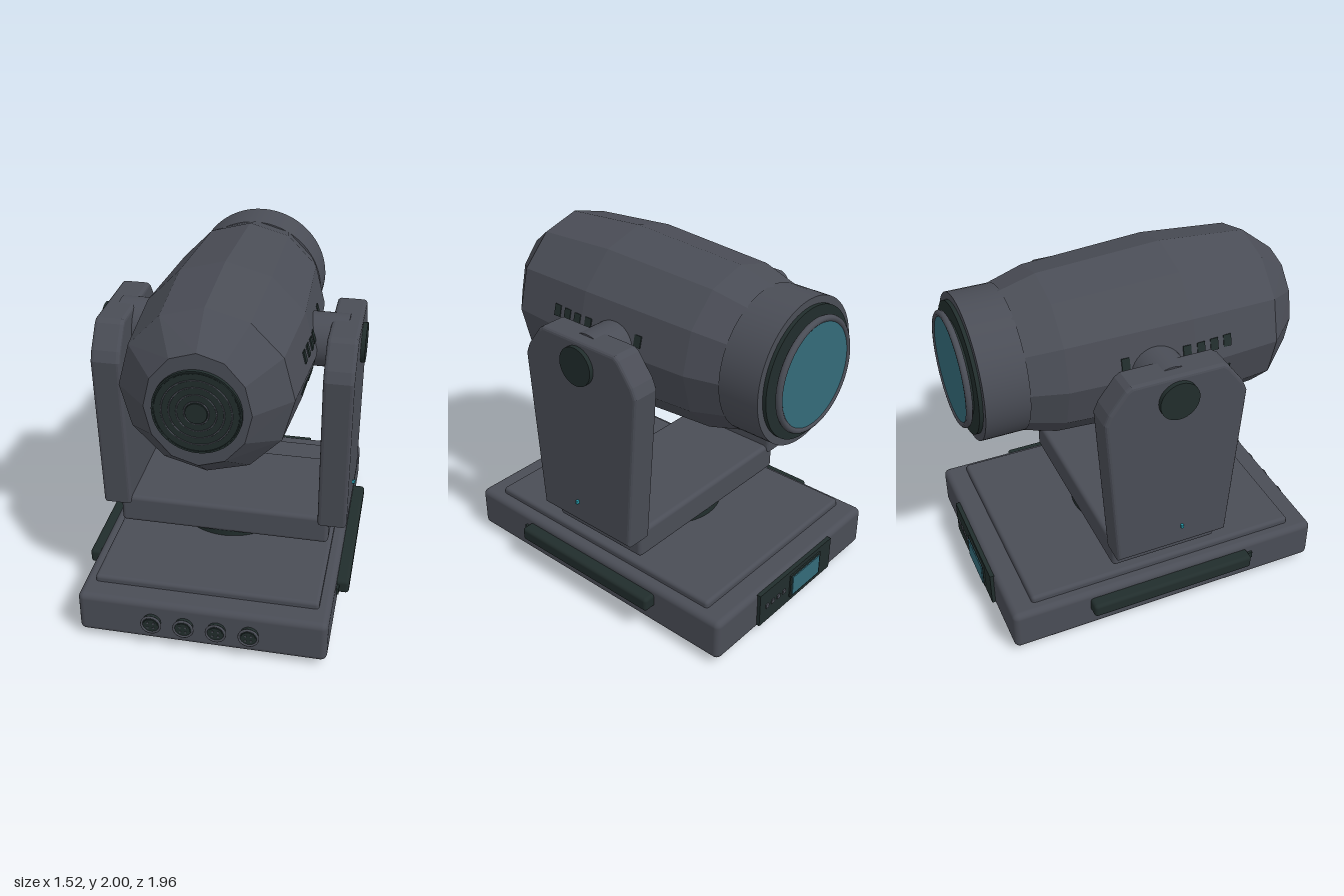
import * as THREE from 'three';
import { RoundedBoxGeometry } from 'three/addons/geometries/RoundedBoxGeometry.js';

const mat = (name, color) => {
  const m = new THREE.MeshStandardMaterial({ color });
  m.name = name;
  return m;
};

export function createModel() {
  const body = mat('body grey', 0x4a4d56);
  const trim = mat('dark trim', 0x212d2c);
  const glass = mat('teal glass', 0x336a79);
  const led = mat('cyan indicator', 0x2593a3);
  const root = new THREE.Group();
  root.name = 'movingHeadLight';

  const add = (name, geo, material, x = 0, y = 0, z = 0, parent = root) => {
    const m = new THREE.Mesh(geo, material);
    m.name = name;
    m.position.set(x, y, z);
    parent.add(m);
    return m;
  };
  const box = (w, h, d, r) => r ? new RoundedBoxGeometry(w, h, d, 3, r) : new THREE.BoxGeometry(w, h, d);
  const cylY = (r, h, n = 32) => new THREE.CylinderGeometry(r, r, h, n);
  const cylX = (r, h, n = 32) => cylY(r, h, n).rotateZ(Math.PI / 2);
  const cylZ = (r, h, n = 32) => cylY(r, h, n).rotateX(Math.PI / 2);

  // Base with raised top plate, feet and pan bearing
  add('base', box(1.38, 0.25, 1.88, 0.035), body, 0, 0.162, 0);
  add('basePlate', box(1.25, 0.08, 1.62, 0.02), body, 0, 0.285, 0);
  add('panBearing', cylY(0.31, 0.06, 48), trim, 0, 0.342, 0);
  for (const x of [-0.525, 0.525])
    for (const z of [-0.645, 0.645]) add('foot', cylY(0.065, 0.05, 24), trim, x, 0.025, z);

  // Side handles
  for (const s of [-1, 1]) {
    add('handle', box(0.09, 0.085, 0.99, 0.02), trim, s * 0.714, 0.203, 0.005);
    add('handleStub', box(0.03, 0.04, 0.05), trim, s * 0.69, 0.198, 0.51);
  }

  // Row of round sockets on the front
  for (const x of [-0.27, -0.09, 0.09, 0.27]) {
    const socket = new THREE.Group();
    socket.name = 'socket';
    socket.position.set(x, 0.165, 0.94);
    root.add(socket);
    add('socketBody', cylZ(0.05, 0.04, 24), trim, 0, 0, 0.01, socket);
    add('socketRim', new THREE.TorusGeometry(0.052, 0.007, 8, 28), body, 0, 0, 0.029, socket);
    add('socketFace', cylZ(0.04, 0.006, 24), trim, 0, 0, 0.032, socket);
    for (let i = 0; i < 4; i++) {
      const a = Math.PI / 4 + i * Math.PI / 2;
      add('socketPin', cylZ(0.006, 0.008, 8), body, 0.022 * Math.cos(a), 0.022 * Math.sin(a), 0.034, socket);
    }
  }

  // Control panel on the back
  add('controlPanel', box(0.68, 0.21, 0.025), trim, 0.01, 0.17, -0.947);
  add('screenFrame', box(0.29, 0.15, 0.01), trim, -0.07, 0.172, -0.963);
  add('screen', box(0.26, 0.125, 0.008), glass, -0.07, 0.172, -0.97);
  for (let i = 0; i < 4; i++)
    add('panelButton', box(0.025, 0.025, 0.008), body, 0.13 + i * 0.052, 0.172, -0.962);

  // Yoke: crossbar and two arms
  add('yokeBar', box(1.22, 0.175, 0.64, 0.025), body, 0, 0.445, 0);
  const half = [[0.33, 0.49], [0.4, 1.44], [0.375, 1.5], [0.285, 1.62], [0.255, 1.64]];
  const outline = [...half, ...half.map(([z, y]) => [-z, y]).reverse()];
  const armShape = new THREE.Shape(outline.map(([z, y]) => new THREE.Vector2(z, y)));
  const armGeo = new THREE.ExtrudeGeometry(armShape, {
    depth: 0.125, bevelEnabled: true, bevelThickness: 0.02, bevelSize: 0.02, bevelOffset: -0.02, bevelSegments: 3,
  }).translate(0, 0, -0.0625).rotateY(Math.PI / 2);
  for (const s of [-1, 1]) {
    add('yokeArm', armGeo, body, s * 0.628, 0, 0);
    add('tiltHub', cylX(0.15, 0.22, 40), body, s * 0.53, 1.5, 0);
    add('tiltCap', cylX(0.11, 0.035), trim, s * 0.718, 1.5, 0);
    add('armIndicator', box(0.02, 0.02, 0.014), led, s * 0.718, 0.625, 0.05);
  }

  // Head: faceted twelve-sided shell, axis along z
  const head = new THREE.Group();
  head.name = 'head';
  head.position.y = 1.5;
  root.add(head);
  const profile = [[0, -0.69], [0.4, -0.69], [0.46, -0.48], [0.5, 0.22], [0.46, 0.72], [0.31, 0.91], [0, 0.91]];
  const shell = new THREE.LatheGeometry(profile.map(([r, z]) => new THREE.Vector2(r, z)), 12)
    .rotateX(Math.PI / 2).toNonIndexed();
  const p = shell.attributes.position;
  for (let i = 0; i < p.count; i++) p.setX(i, p.getX(i) * (p.getZ(i) > 0.8 ? 0.87 : 0.975));
  shell.computeVertexNormals();
  add('headShell', shell, body, 0, 0, 0, head);

  // Vent slots in two rows on both flanks
  for (const s of [-1, 1])
    for (const row of [-1, 1])
      for (const z of [0.41, 0.33, 0.25, 0.17, -0.17]) {
        const r = 0.5 - (z > 0.22 ? (z - 0.22) * 0.08 : (0.22 - z) * 0.057);
        const vent = add('ventSlot', box(0.012, 0.065, 0.045), trim, s * (r * 0.975 - 0.024), row * 0.09, z, head);
        vent.rotation.z = s * row * 0.26;
      }

  // Round fan grille on the front cap
  add('fanPlate', cylZ(0.225, 0.03, 48), trim, 0, 0, 0.915, head);
  add('fanHub', cylZ(0.055, 0.008), trim, 0, 0, 0.934, head);
  for (let i = 0; i < 5; i++)
    add('grilleRing', new THREE.TorusGeometry(0.062 + i * 0.038, 0.004, 6, 48), i === 4 ? trim : body, 0, 0, 0.929, head);

  // Lens barrel, dark collar, rim and glass at the back
  add('lensBarrel', cylZ(0.4, 0.24, 64), body, 0, 0, -0.79, head);
  add('lensCollar', cylZ(0.36, 0.025, 64), trim, 0, 0, -0.918, head);
  add('lensNeck', cylZ(0.27, 0.04, 48), trim, 0, 0, -0.94, head);
  add('lensRim', new THREE.TorusGeometry(0.298, 0.018, 10, 64), body, 0, 0, -0.963, head);
  add('lensGlass', cylZ(0.288, 0.016, 64), glass, 0, 0, -0.965, head);

  return root;
}
